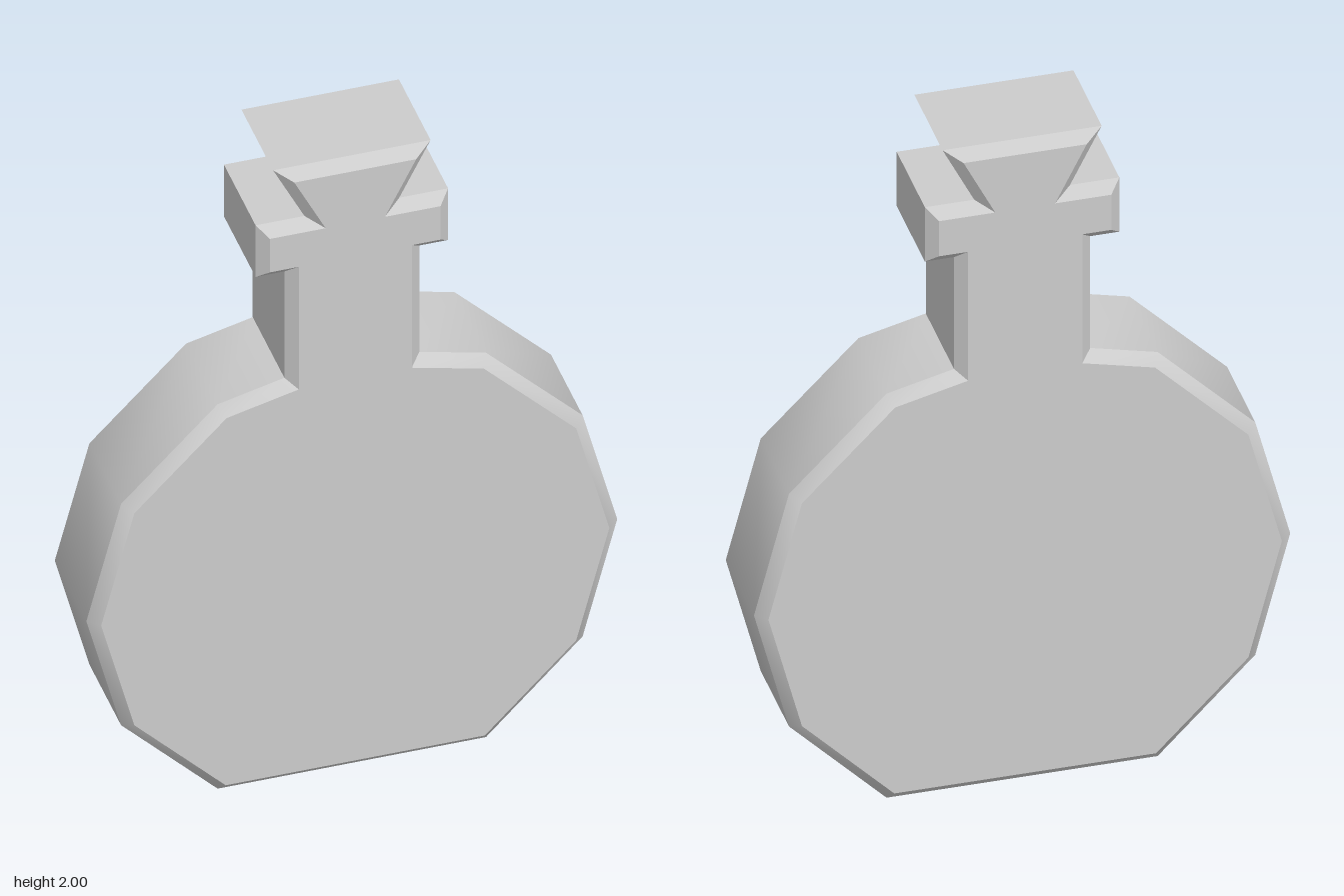
import * as THREE from 'three';
import { toCreasedNormals } from 'three/addons/utils/BufferGeometryUtils.js';

const HALF_DEPTH = 0.167;
const BEVEL = 0.03;

// Right half of the bottle silhouette, from the base up
const HALF = [
  [0.368, 0], [0.633, 0.27], [0.728, 0.634], [0.633, 0.998], [0.368, 1.265], // belly
  [0.185, 1.31], [0.185, 1.66],                                             // neck
  [0.264, 1.66], [0.264, 1.83], [0.13, 1.83],                               // collar
  [0.216, 2],                                                               // stopper
];

// Move every edge of a counter-clockwise outline inwards, with full mitres
function inset(points, d) {
  const n = points.length;
  const normal = (a, b) => new THREE.Vector2(a.y - b.y, b.x - a.x).normalize();
  return points.map((p, i) => {
    const n1 = normal(points[(i + n - 1) % n], p);
    const n2 = normal(p, points[(i + 1) % n]);
    const k = d / (1 + n1.dot(n2));
    return p.clone().add(n1.add(n2).multiplyScalar(k));
  });
}

// Slab with chamfered front and back edges
function chamferedSlab(outline, half, bevel) {
  const n = outline.length;
  const inner = inset(outline, bevel);
  const rings = [[inner, -half], [outline, bevel - half], [outline, half - bevel], [inner, half]];
  const positions = rings.flatMap(([pts, z]) => pts.flatMap((p) => [p.x, p.y, z]));
  const index = [];
  // back chamfer, side wall, front chamfer
  for (let r = 0; r < 3; r++) {
    for (let i = 0; i < n; i++) {
      const j = (i + 1) % n;
      const a = r * n + i, b = r * n + j, c = b + n, d = a + n;
      index.push(a, b, c, a, c, d);
    }
  }
  // flat front and back faces
  for (const [a, b, c] of THREE.ShapeUtils.triangulateShape(inner, [])) {
    index.push(3 * n + a, 3 * n + b, 3 * n + c, c, b, a);
  }
  const geometry = new THREE.BufferGeometry();
  geometry.setAttribute('position', new THREE.Float32BufferAttribute(positions, 3));
  geometry.setIndex(index);
  // the belly is smooth across its facets, all other edges stay sharp
  return toCreasedNormals(geometry, 0.6);
}

export function createModel() {
  const right = HALF.map(([x, y]) => new THREE.Vector2(x, y));
  const left = HALF.map(([x, y]) => new THREE.Vector2(-x, y)).reverse();
  const bottle = new THREE.Mesh(
    chamferedSlab([...right, ...left], HALF_DEPTH, BEVEL),
    new THREE.MeshStandardMaterial({ color: 0xcccccc }),
  );
  bottle.name = 'bottle';
  const group = new THREE.Group();
  group.name = 'flatFlask';
  group.add(bottle);
  return group;
}
